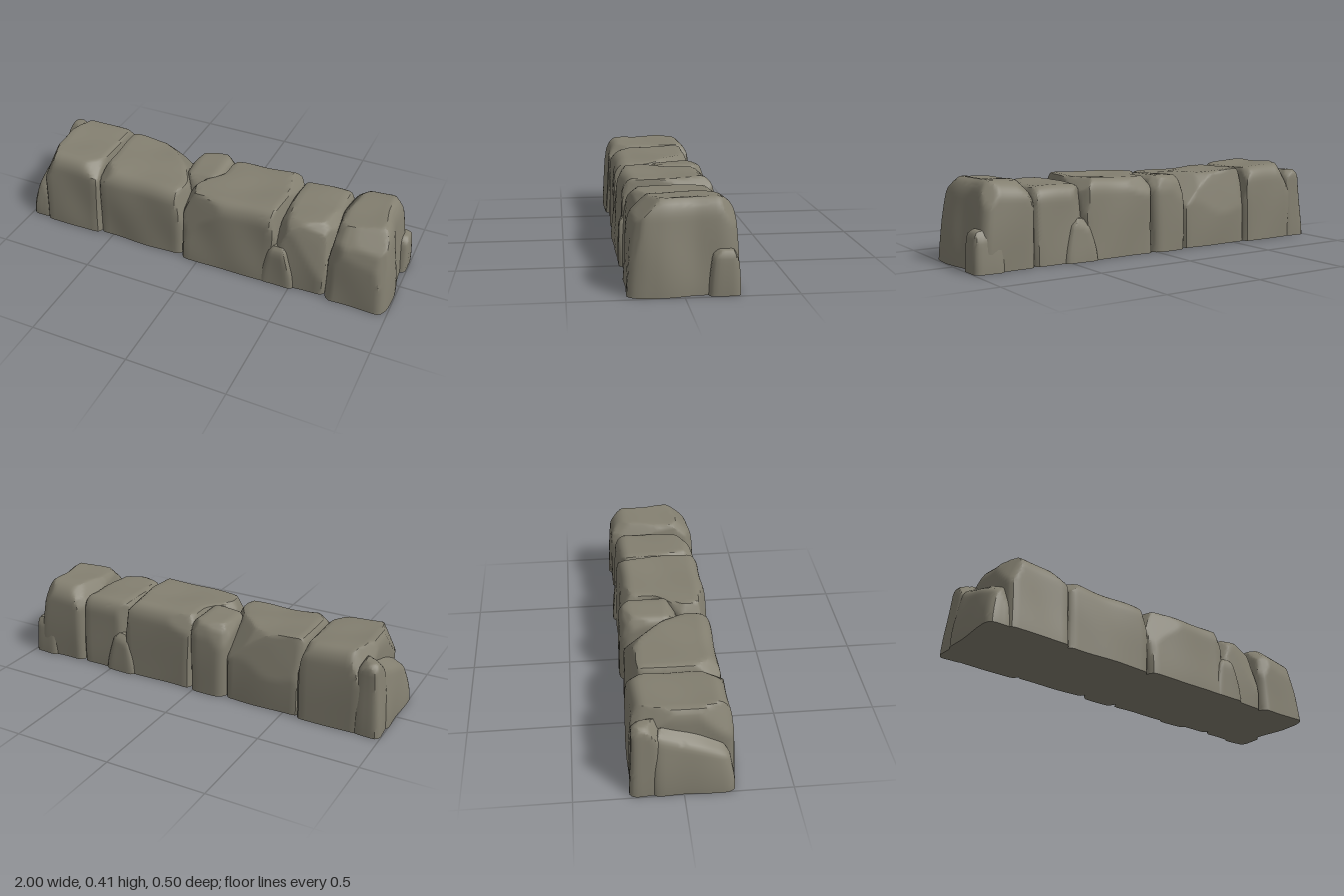
import * as THREE from 'three';
import { mergeVertices, toCreasedNormals } from 'three/addons/utils/BufferGeometryUtils.js';

const { lerp, clamp, smoothstep } = THREE.MathUtils;

// small seeded generator, for repeatable chips and dents
function seeded(seed) {
  let s = seed * 7919 + 17;
  return () => {
    s = (s * 16807) % 2147483647;
    return s / 2147483647;
  };
}

// A rough block with a flat base.
// base, top: [x0, x1, z0, z1] outlines; h: heights [at x0, at x1, rise towards +z];
// skew: shift of [x0, x1] in the back half
function stoneGeometry({ base, top, h, skew = [0, 0], round = [0.035, 0.075, 0.06], chips = 11, depth = 0.024, seed }) {
  const rand = seeded(seed);
  for (let i = 0; i < 5; i++) rand();
  const wx = base[1] - base[0], wz = base[3] - base[2], hMax = Math.max(h[0], h[1]);
  const seg = (w) => clamp(Math.round(w / 0.02), 6, 24);
  let geo = new THREE.BoxGeometry(2, 1, 2, seg(wx), seg(hMax), seg(wz));
  geo.translate(0, 0.5, 0);
  geo.deleteAttribute('uv');
  geo.deleteAttribute('normal');
  geo = mergeVertices(geo);

  const pos = geo.attributes.position;
  const r = [Math.min(0.8, 2 * round[0] / wx), Math.min(0.6, round[1] / hMax), Math.min(0.8, 2 * round[2] / wz)];
  const phase = [rand() * 6, rand() * 6, rand() * 6];
  const pts = [];
  for (let i = 0; i < pos.count; i++) {
    // round the upright and upper edges, leaving the base flat
    const p = [pos.getX(i), pos.getY(i), pos.getZ(i)];
    const c = [clamp(p[0], r[0] - 1, 1 - r[0]), Math.min(p[1], 1 - r[1]), clamp(p[2], r[2] - 1, 1 - r[2])];
    const e = p.map((v, k) => (v - c[k]) / r[k]);
    const len = Math.hypot(...e);
    const k = len > 0 ? Math.max(...e.map(Math.abs)) / len : 0;
    const [u, v, w] = c.map((a, j) => a + e[j] * k * r[j]);
    // taper from the base outline to the top outline
    const o = base.map((b, j) => lerp(b, top[j], v ** 1.5));
    const su = (u + 1) / 2, sw = (w + 1) / 2;
    const back = 1 - smoothstep(sw, 0.35, 0.75);
    const height = lerp(h[0], h[1], su) + (h[2] || 0) * (sw - 0.5);
    const x = lerp(o[0] + skew[0] * back, o[1] + skew[1] * back, su);
    const q = new THREE.Vector3(x, v * height, lerp(o[2], o[3], sw));
    // gentle swelling of the faces
    const n = Math.sin(q.x * 19 + q.y * 11 + phase[0]) + Math.sin(q.z * 17 - q.y * 13 + phase[1])
      + Math.sin(q.x * 13 + q.z * 23 + phase[2]);
    q.x += u * n * 0.002;
    q.z += w * n * 0.0025;
    q.y += v * n * 0.002;
    pts.push(q);
  }

  // knock flats off the edges and corners
  for (let i = 0; i < chips; i++) {
    const a = rand() * Math.PI * 2;
    const nrm = new THREE.Vector3(Math.cos(a), 0.1 + rand() * 1.1, Math.sin(a)).normalize();
    const limit = Math.max(...pts.map((p) => p.dot(nrm))) - depth * (0.35 + rand() * 0.75);
    for (const p of pts) {
      const over = p.dot(nrm) - limit;
      if (over > 0) p.addScaledVector(nrm, -over * 0.9);
    }
  }
  pts.forEach((p, i) => pos.setXYZ(i, p.x, Math.max(0, p.y), p.z));
  return toCreasedNormals(geo, 0.6);
}

export function createModel() {
  const wall = new THREE.Group();
  wall.name = 'stoneWall';
  const stone = new THREE.MeshStandardMaterial({ color: 0x837f70 });
  stone.name = 'mossy grey stone';

  const stones = {
    // large blocks along the wall
    leftBlock: { base: [-0.91, -0.565, -0.246, 0.246], top: [-0.9, -0.57, -0.222, 0.212], h: [0.408, 0.383], seed: 3 },
    midLeftBlock: {
      base: [-0.585, -0.09, -0.228, 0.234], top: [-0.58, -0.1, -0.213, 0.21],
      h: [0.388, 0.373, -0.01], skew: [0, -0.08], seed: 8,
    },
    midRightBlock: {
      base: [-0.1, 0.42, -0.235, 0.243], top: [-0.105, 0.42, -0.21, 0.213],
      h: [0.38, 0.392], skew: [0.12, 0], seed: 5,
    },
    narrowBlock: { base: [0.405, 0.685, -0.227, 0.228], top: [0.405, 0.685, -0.21, 0.208], h: [0.373, 0.37], seed: 13 },
    rightBlock: {
      base: [0.67, 0.997, -0.24, 0.245], top: [0.675, 0.945, -0.232, 0.212], h: [0.392, 0.418],
      skew: [0, -0.025], round: [0.05, 0.09, 0.09], seed: 21,
    },
    // block let into the back, reaching to mid top
    backBlock: {
      base: [-0.185, 0.03, -0.243, 0.1], top: [-0.18, 0.02, -0.228, 0.045], h: [0.377, 0.383],
      round: [0.05, 0.05, 0.07], depth: 0.014, seed: 34,
    },
    // upright and sloping stones at the left end
    endUpright: {
      base: [-0.995, -0.86, -0.243, -0.09], top: [-0.96, -0.86, -0.23, -0.11], h: [0.365, 0.37],
      round: [0.03, 0.03, 0.04], chips: 7, depth: 0.015, seed: 4,
    },
    endWedge: {
      base: [-1, -0.87, -0.14, 0.233], top: [-0.965, -0.87, -0.14, 0.21], h: [0.25, 0.3, -0.13],
      round: [0.03, 0.03, 0.05], chips: 7, depth: 0.018, seed: 9,
    },
    // small filler stones
    frontFiller: {
      base: [0.335, 0.525, 0.08, 0.25], top: [0.385, 0.465, 0.08, 0.238], h: [0.225, 0.225],
      round: [0.035, 0.05, 0.03], chips: 5, depth: 0.008, seed: 6,
    },
    backFiller: {
      base: [0.35, 0.53, -0.248, -0.08], top: [0.4, 0.48, -0.236, -0.08], h: [0.21, 0.22],
      round: [0.035, 0.05, 0.03], chips: 5, depth: 0.008, seed: 11,
    },
    cornerFiller: {
      base: [0.85, 1, -0.247, -0.1], top: [0.85, 0.985, -0.235, -0.13], h: [0.2, 0.2],
      round: [0.03, 0.03, 0.035], chips: 5, depth: 0.01, seed: 15,
    },
  };

  for (const [name, spec] of Object.entries(stones)) {
    const mesh = new THREE.Mesh(stoneGeometry(spec), stone);
    mesh.name = name;
    wall.add(mesh);
  }
  return wall;
}
